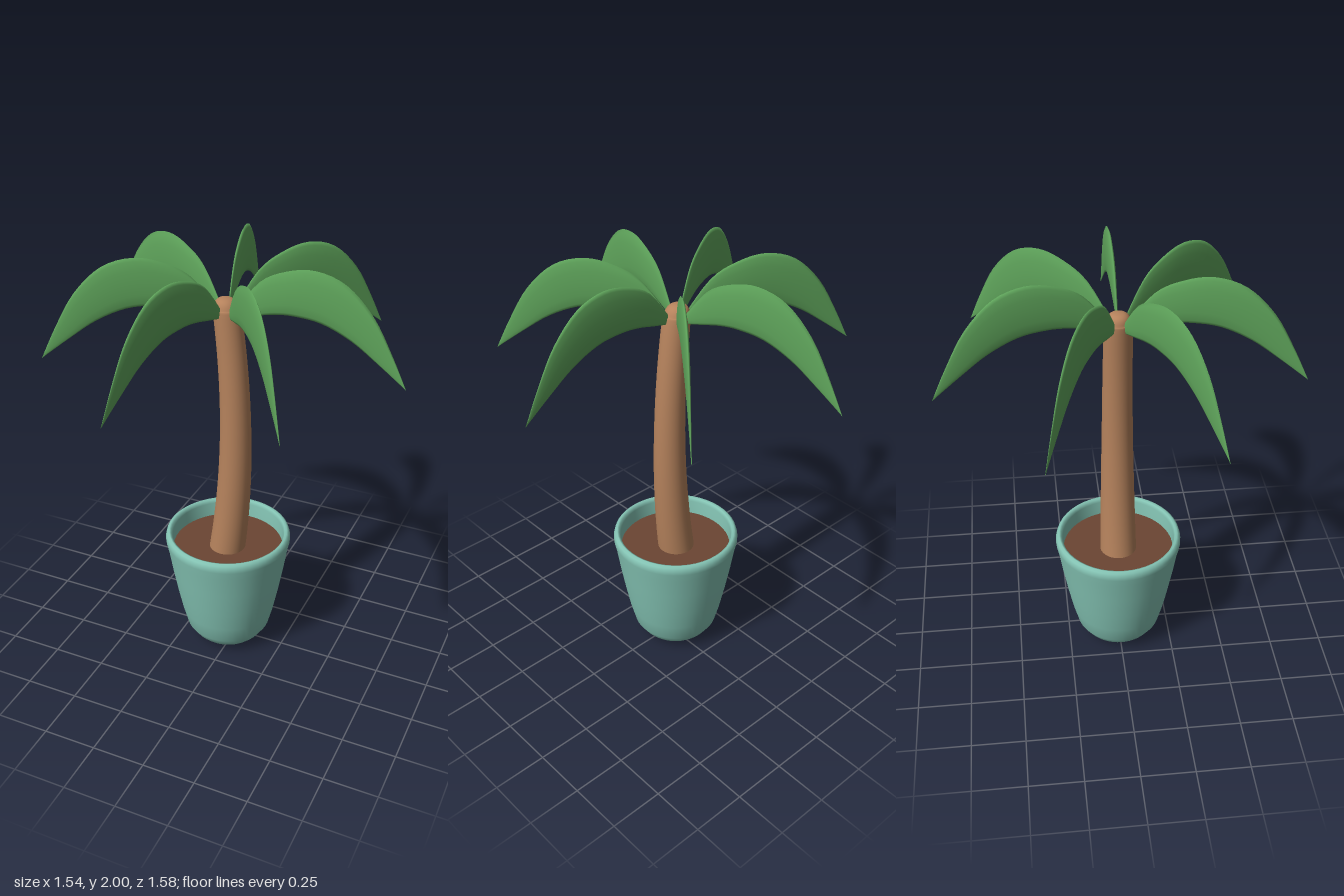
import * as THREE from 'three';
import { mergeVertices } from 'three/addons/utils/BufferGeometryUtils.js';

const CENTRE = -0.04;
const LEAVES = 7;

const v2 = (pts) => pts.map(([x, y]) => new THREE.Vector2(x, y));

function part(name, geometry, color) {
  const mesh = new THREE.Mesh(geometry, new THREE.MeshStandardMaterial({ color, side: THREE.DoubleSide }));
  mesh.name = name;
  return mesh;
}

// Moves every vertex by a rule, then welds seams and smooths the normals
function reshape(geometry, rule) {
  const pos = geometry.attributes.position;
  const p = new THREE.Vector3();
  for (let i = 0; i < pos.count; i++) {
    rule(p.fromBufferAttribute(pos, i));
    pos.setXYZ(i, p.x, p.y, p.z);
  }
  geometry.deleteAttribute('uv');
  geometry.deleteAttribute('normal');
  const welded = mergeVertices(geometry, 1e-5);
  welded.computeVertexNormals();
  return welded;
}

// Upper and lower outlines of a leaf: distance from the trunk axis, height
const upperEdge = new THREE.SplineCurve(v2([
  [0.035, 1.765], [0.15, 1.913], [0.267, 1.977], [0.395, 2.0],
  [0.53, 1.96], [0.65, 1.845], [0.74, 1.69], [0.81, 1.545],
]));
const lowerEdge = new THREE.SplineCurve(v2([
  [0.035, 1.735], [0.13, 1.757], [0.22, 1.778], [0.31, 1.785],
  [0.43, 1.773], [0.56, 1.72], [0.68, 1.64], [0.81, 1.545],
]));

// A thin blade standing on edge, lofted between the two outlines
function leafGeometry() {
  return reshape(new THREE.CylinderGeometry(1, 1, 1, 12, 28, true), (p) => {
    const t = THREE.MathUtils.clamp(p.y + 0.5, 0, 1);
    const top = upperEdge.getPoint(t);
    const low = lowerEdge.getPoint(t);
    const thick = 0.003 + 0.014 * Math.sin(Math.PI * t);
    const k = (p.z + 1) / 2;
    p.set(THREE.MathUtils.lerp(low.x, top.x, k), THREE.MathUtils.lerp(low.y, top.y, k), p.x * thick * (1 - 0.6 * t * t));
  });
}

export function createModel() {
  const group = new THREE.Group();
  group.name = 'pottedPalm';

  // Pot: outer wall, rounded rim, inner wall down to the soil
  const pot = part('pot', new THREE.LatheGeometry(v2([
    [0, 0.005], [0.11, 0.008], [0.15, 0.02], [0.175, 0.045], [0.205, 0.09], [0.228, 0.18],
    [0.25, 0.29], [0.273, 0.42], [0.29, 0.53], [0.3, 0.575], [0.3, 0.595],
    [0.295, 0.612], [0.284, 0.62], [0.274, 0.616], [0.267, 0.6], [0.264, 0.5],
  ]), 48), 0x85c5b5);
  pot.position.x = CENTRE;

  const soil = part('soil', new THREE.CircleGeometry(0.266, 48).rotateX(-Math.PI / 2), 0x6b4633);
  soil.position.set(CENTRE, 0.53, 0);

  // Trunk: tapered, domed on top, gently bowed towards +x
  const profile = [[0.088, 0.5], [0.085, 0.62], [0.078, 0.9], [0.071, 1.2], [0.066, 1.5],
    [0.062, 1.74], [0.056, 1.775], [0.045, 1.8], [0.026, 1.814], [0, 1.818]];
  const smooth = new THREE.SplineCurve(v2(profile)).getPoints(36);
  smooth.forEach((p) => { p.x = Math.max(0, p.x); });
  const trunkGeometry = reshape(new THREE.LatheGeometry(smooth, 28), (p) => {
    p.x -= 0.11 * (p.y - 1.15) ** 2;
  });
  group.add(pot, soil, part('trunk', trunkGeometry, 0xb5825c));

  // Crown: a ring of arching leaves
  const crown = new THREE.Group();
  crown.name = 'crown';
  crown.position.x = CENTRE;
  const blade = leafGeometry();
  for (let i = 0; i < LEAVES; i++) {
    const leaf = part('leaf', blade, 0x60a65c);
    leaf.rotation.y = (i / LEAVES) * Math.PI * 2;
    crown.add(leaf);
  }
  group.add(crown);

  return group;
}
